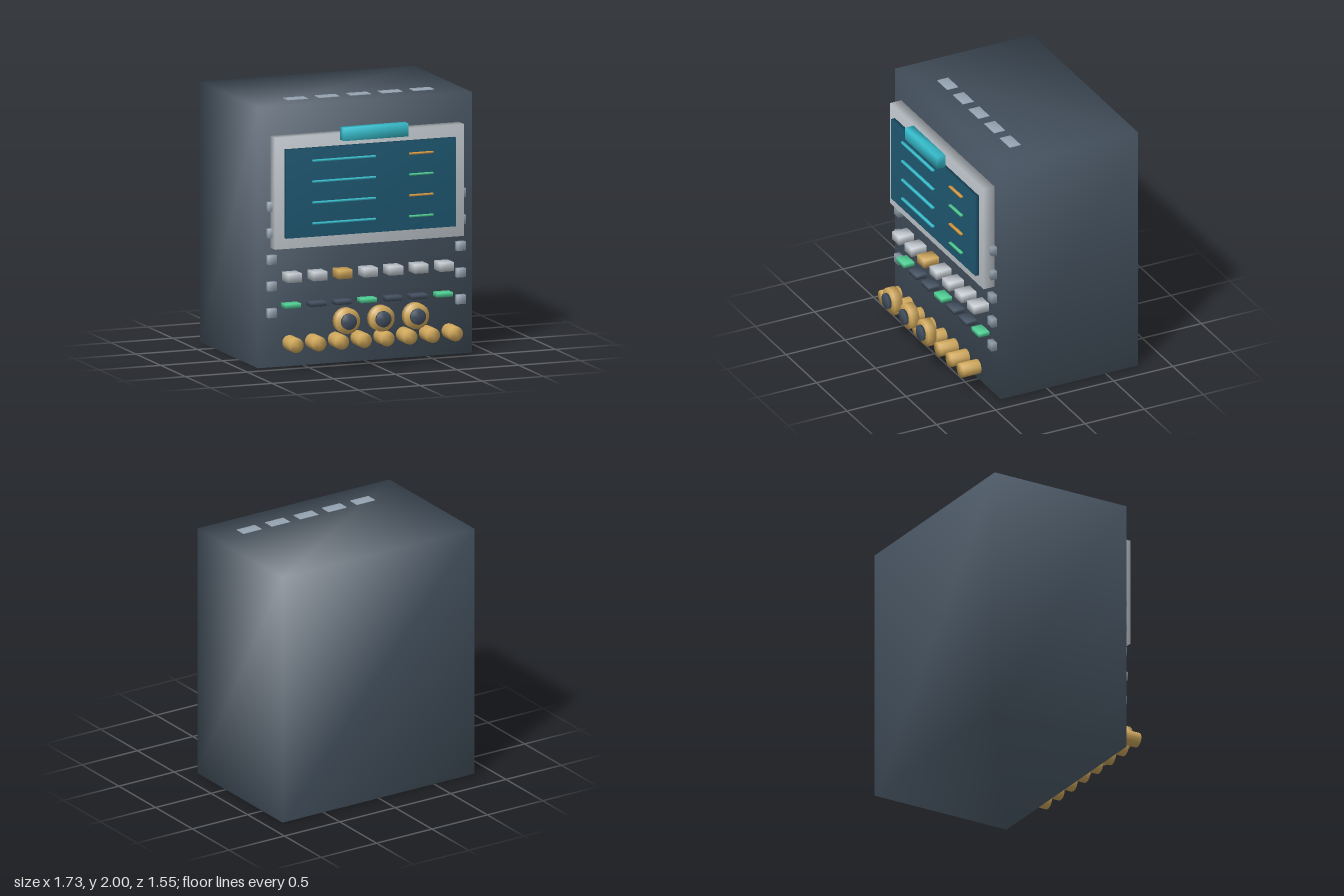
import * as THREE from 'three';
import { mergeVertices } from 'three/addons/utils/BufferGeometryUtils.js';

const mat = (name, color) => new THREE.MeshStandardMaterial({ name, color });

// Weld all corners so the shading runs softly across the edges
function soften(geometry) {
  geometry.deleteAttribute('uv');
  geometry.deleteAttribute('normal');
  const welded = mergeVertices(geometry, 1e-4);
  welded.computeVertexNormals();
  return welded;
}

export function createModel() {
  const model = new THREE.Group();
  model.name = 'controlConsole';

  const slate = mat('slate', 0x4a5866);
  const silver = mat('silver', 0xc3cad0);
  const screenBlue = mat('screenBlue', 0x1f5872);
  const cyan = mat('cyan', 0x38c0d0);
  const gold = mat('gold', 0xd0a85c);
  const green = mat('green', 0x4fce94);
  const amber = mat('amber', 0xd89c44);
  const steel = mat('steel', 0x95a3b1);
  const darkSlate = mat('darkSlate', 0x435060);

  function add(name, geometry, material, x, y, z) {
    const mesh = new THREE.Mesh(geometry, material);
    mesh.name = name;
    mesh.position.set(x, y, z);
    model.add(mesh);
    return mesh;
  }
  // Box given by its centre in x and y and its back and front in z
  const box = (name, material, x, y, w, h, z0, z1) =>
    add(name, soften(new THREE.BoxGeometry(w, h, z1 - z0)), material, x, y, (z0 + z1) / 2);
  // Cylinder lying along z
  const disc = (name, material, x, y, r, z0, z1, sides) =>
    add(name, soften(new THREE.CylinderGeometry(r, r, z1 - z0, sides).rotateX(Math.PI / 2)),
      material, x, y, (z0 + z1) / 2);

  // Cabinet
  box('cabinet', slate, 0, 0.997, 1.734, 1.994, -0.775, 0.387);

  // Vents on the top
  for (let i = 0; i < 5; i++) {
    box('topVent', steel, 0.045 + (i - 2) * 0.256, 1.993, 0.164, 0.014, 0.102, 0.194);
  }

  // Display with its frame and readout bars
  box('displayFrame', silver, 0, 1.344, 1.532, 0.856, 0.386, 0.481);
  box('screen', screenBlue, 0, 1.34, 1.376, 0.68, 0.479, 0.512);
  for (let i = 0; i < 4; i++) {
    const y = 1.585 - i * 0.16;
    box('longReadout', cyan, -0.225, y, 0.51, 0.015, 0.516, 0.538);
    box('shortReadout', i % 2 ? green : amber, 0.4, y, 0.192, 0.014, 0.516, 0.538);
  }

  // Lamp bar above the display
  box('lampBar', cyan, -0.002, 1.785, 0.526, 0.1, 0.541, 0.614);

  // Bolts down both sides
  for (const side of [-1, 1]) {
    for (let i = 0; i < 5; i++) {
      box('sideBolt', steel, side * 0.766, 1.236 - i * 0.204, 0.07, 0.07, 0.386, 0.43);
    }
  }

  // Button row and indicator row
  for (let i = 0; i < 7; i++) {
    const x = (i - 3) * 0.205;
    box('button', i === 2 ? gold : silver, x, 0.693, 0.112, 0.068, 0.386, 0.513);
    box('indicator', i % 3 ? darkSlate : green, x, 0.473, 0.126, 0.034, 0.386, 0.474);
  }

  // Large knobs with dark caps
  for (const x of [-0.28, 0, 0.28]) {
    disc('knob', gold, x, 0.38, 0.099, 0.678, 0.743, 20);
    disc('knobCap', darkSlate, x, 0.38, 0.061, 0.751, 0.773, 20);
  }

  // Pegs along the bottom
  for (let i = 0; i < 8; i++) {
    disc('peg', gold, (i - 3.5) * 0.1845, 0.197, 0.057, 0.466, 0.618, 14);
  }

  return model;
}
